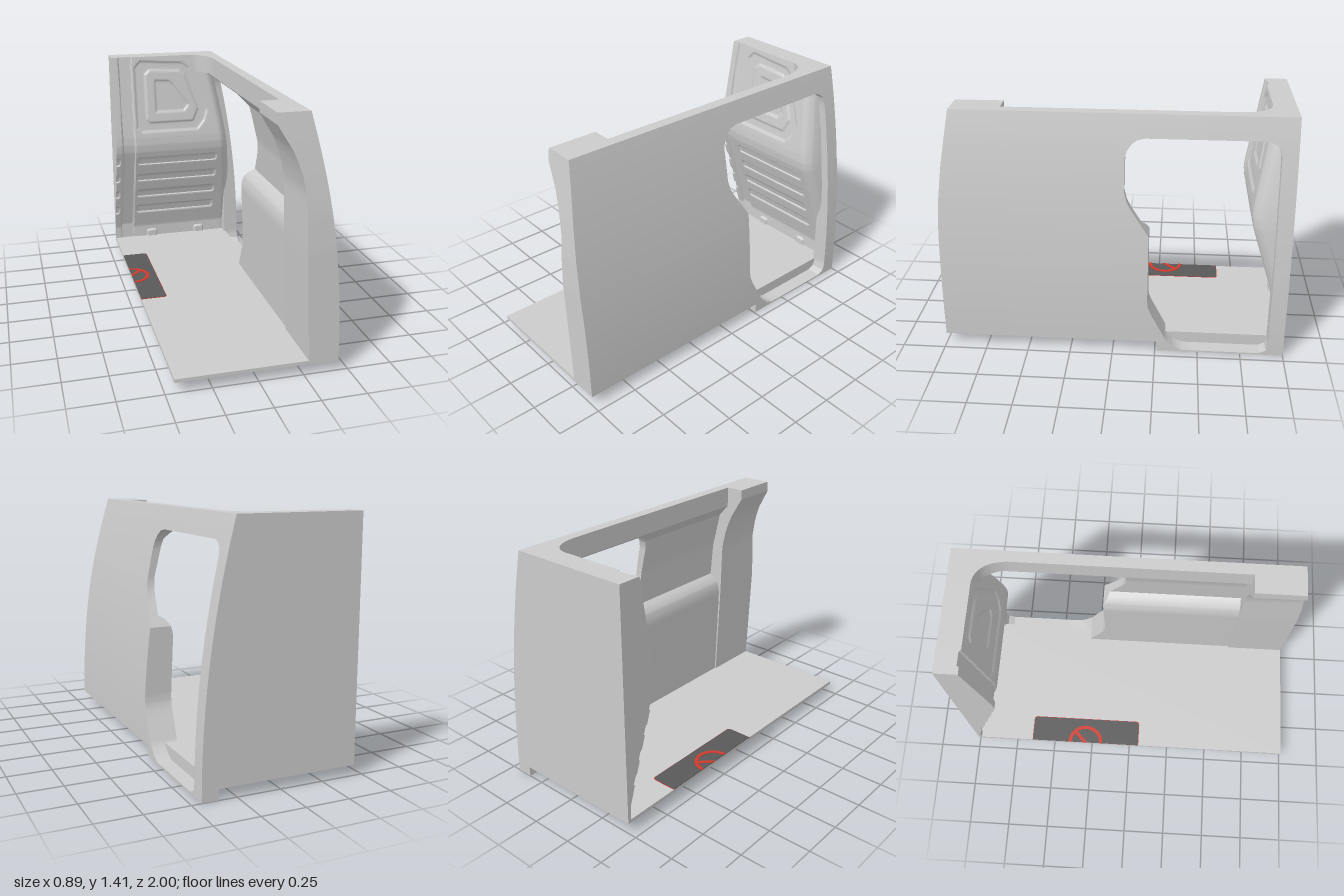
import * as THREE from 'three';
import { toCreasedNormals } from 'three/addons/utils/BufferGeometryUtils.js';

const TOP = 1.41, FLOOR = 0.06, EPS = 0.0001;
const grey = new THREE.MeshStandardMaterial({ color: 0xcccccc });
const dark = new THREE.MeshStandardMaterial({ color: 0x595959 });
const red = new THREE.MeshStandardMaterial({ color: 0xd03a2c });

// Linear interpolation through [position, value] pairs
function at(points, t) {
  if (t <= points[0][0]) return points[0][1];
  for (let i = 1; i < points.length; i++) {
    const [a, va] = points[i - 1], [b, vb] = points[i];
    if (t <= b) return va + (vb - va) * (t - a) / (b - a);
  }
  return points[points.length - 1][1];
}

// Curved outer skin, front edge and door opening, all as functions of height
const outer = (y) => 0.445 - 0.18 * Math.pow(y / TOP, 2.05);
const frontEdge = [[0.06, 1], [0.7, 1], [0.9, 0.99], [1.1, 0.968], [1.25, 0.945], [TOP, 0.92]];
const doorFront = [[0, -0.5], [0.0099, -0.5], [0.01, -0.41], [0.03, -0.36], [0.08, -0.31], [0.25, -0.22],
  [0.29, -0.205], [0.33, -0.2], [0.73, -0.2], [0.79, -0.16], [0.88, -0.1], [0.93, -0.073], [0.98, -0.06],
  [1.17, -0.06], [1.21, -0.07], [1.245, -0.093], [1.27, -0.125], [1.28, -0.17], [1.28 + EPS, -0.5]];
const doorBack = [[0, -0.5], [0.0099, -0.5], [0.01, -0.86], [0.03, -0.9], [0.07, -0.91], [1.2, -0.91],
  [1.24, -0.9], [1.265, -0.875], [1.28, -0.84], [1.28 + EPS, -0.5]];
const innerSide = [[0, 0.35], [FLOOR, 0.35], [FLOOR + EPS, 0.285], [0.66, 0.26], [0.7, 0.262], [0.74, 0.275],
  [0.77, 0.3], [0.79, 0.335], [1, 0.315], [1.22, 0.262], [1.29, 0.2], [TOP, 0.2]];
const innerRear = [[0, 0.35], [FLOOR, 0.35], [0.8, 0.335], [1, 0.312], [1.22, 0.262], [1.29, 0.2], [TOP, 0.2]];
const innerPillar = [[0.06, 0.277], [0.7, 0.246], [1, 0.237], [1.1, 0.215], [1.16, 0.195], [1.22, 0.17],
  [1.3, 0.122], [1.35, 0.092], [TOP, 0.092]];

// Sorted heights at which a column needs a cross-section
function levels(from, ...profiles) {
  const ys = new Set([from, TOP]);
  for (let y = 0; y < TOP; y += 0.05) ys.add(+y.toFixed(2));
  profiles.flat().forEach(([y]) => ys.add(y));
  return [...ys].filter((y) => y >= from && y <= TOP).sort((a, b) => a - b);
}

// Stack of rectangles, rect(y) = [x0, x1, z0, z1], closed at both ends
function column(name, ys, rect) {
  const pos = [], index = [];
  ys.forEach((y, k) => {
    const [x0, x1, z0, z1] = rect(y);
    pos.push(x0, y, z0, x0, y, z1, x1, y, z1, x1, y, z0);
    if (!k) return;
    for (let i = 0; i < 4; i++) {
      const a = k * 4 - 4 + i, b = k * 4 - 4 + (i + 1) % 4;
      index.push(a, b, b + 4, a, b + 4, a + 4);
    }
  });
  const e = (ys.length - 1) * 4;
  index.push(0, 2, 1, 0, 3, 2, e, e + 1, e + 2, e, e + 2, e + 3);
  return indexed(name, pos, index, 0.45);
}

function indexed(name, pos, index, crease) {
  const g = new THREE.BufferGeometry();
  g.setAttribute('position', new THREE.Float32BufferAttribute(pos, 3));
  g.setIndex(index);
  return named(name, toCreasedNormals(g, crease));
}

function named(name, geometry, material = grey) {
  const mesh = new THREE.Mesh(geometry, material);
  mesh.name = name;
  return mesh;
}

function box(name, x0, x1, y0, y1, z0, z1) {
  const m = named(name, new THREE.BoxGeometry(x1 - x0, y1 - y0, z1 - z0));
  m.position.set((x0 + x1) / 2, (y0 + y1) / 2, (z0 + z1) / 2);
  return m;
}

// Flat plate lying at height y; shape coordinates are x and -z
function plate(name, shape, y, depth, material) {
  const g = new THREE.ExtrudeGeometry(shape, { depth, bevelEnabled: false, curveSegments: 24 });
  const m = named(name, g.rotateX(-Math.PI / 2), material);
  m.position.y = y;
  return m;
}

// Signed distances used for the pressed shapes of the rear panel
const roundBox = (x, y, x0, x1, y0, y1, r) => {
  const dx = Math.abs(x - (x0 + x1) / 2) - (x1 - x0) / 2 + r;
  const dy = Math.abs(y - (y0 + y1) / 2) - (y1 - y0) / 2 + r;
  return Math.hypot(Math.max(dx, 0), Math.max(dy, 0)) + Math.min(Math.max(dx, dy), 0) - r;
};
const convex = (x, y, pts) => Math.max(...pts.map(([ax, ay], i) => { // clockwise corners
  const [bx, by] = pts[(i + 1) % pts.length], l = Math.hypot(bx - ax, by - ay);
  return ((x - ax) * (ay - by) + (y - ay) * (bx - ax)) / l;
}));
const inside = (d, soft) => 1 - THREE.MathUtils.smoothstep(d, -soft, soft);

const rearProfile = [[0.06, -0.978], [0.16, -0.978], [0.38, -0.91], [0.68, -0.813], [0.73, -0.797],
  [0.77, -0.785], [0.82, -0.779], [0.87, -0.782], [0.92, -0.789], [TOP, -0.868]];
const rings = [
  [[-0.3, 1.34], [-0.26, 1.38], [0.03, 1.36], [0.07, 1.33], [0.19, 1.04], [0.17, 0.97], [0.12, 0.91], [-0.27, 0.91], [-0.3, 0.94]],
  [[-0.23, 1.29], [-0.2, 1.32], [0.01, 1.31], [0.04, 1.28], [0.125, 1.05], [0.09, 0.97], [-0.21, 0.97], [-0.23, 0.99]],
  [[-0.165, 1.25], [-0.07, 1.245], [-0.04, 1.22], [0.06, 1.08], [0.03, 1.04], [-0.165, 1.04]],
];

function rearSurface(x, y, edge) {
  let z = at(rearProfile, y);
  z -= 0.012 * inside(roundBox(x, y, -0.405, -0.32, -1, 3, 0), 0.004);
  rings.forEach((r, i) => { z += (i % 2 ? 0.009 : -0.009) * inside(convex(x, y, r), 0.008); });
  for (let k = 0; k < 4; k++) {
    const y0 = 0.28 + 0.131 * k;
    const d = Math.min(roundBox(x, y, -0.3, 0.26, y0, y0 + 0.052, 0.015), roundBox(x, y, -0.6, -0.425, y0, y0 + 0.052, 0.015));
    z -= 0.01 * inside(d, 0.004);
  }
  for (const c of [-0.185, 0.165]) z += 0.012 * inside(roundBox(x, y, c - 0.033, c + 0.033, 0, 0.125, 0.015), 0.004);
  const roll = Math.max(0, (x - edge + 0.06) / 0.06);
  return Math.max(-0.985, z - 0.05 * roll * roll);
}

// Pressed rear panel; the outermost rows and columns fold back as a skirt
function rearPanel() {
  const nx = 140, ny = 230, pos = [], index = [], c = THREE.MathUtils.clamp;
  for (let j = 0; j <= ny; j++) for (let i = 0; i <= nx; i++) {
    const y = FLOOR + (TOP - FLOOR) * c((j - 1) / (ny - 2), 0, 1);
    const edge = outer(y) - 0.05;
    const x = -0.45 + (edge + 0.45) * c((i - 1) / (nx - 2), 0, 1);
    const skirt = i === 0 || j === 0 || i === nx || j === ny;
    pos.push(x, y, skirt ? -0.99 : rearSurface(x, y, edge));
    if (i < nx && j < ny) {
      const a = j * (nx + 1) + i, d = a + nx + 1;
      index.push(a, a + 1, d + 1, a, d + 1, d);
    }
  }
  return indexed('rearPanel', pos, index, 0.6);
}

export function createModel() {
  const model = new THREE.Group();
  model.name = 'cabinSection';

  // Floor and the lowered door sill
  model.add(box('floor', -0.45, 0.35, FLOOR, 0.08, -1, 1));
  model.add(box('sillInnerFace', 0.345, 0.36, 0.002, 0.08, -0.95, -0.28));

  // Side wall, split in the middle of the door opening
  model.add(column('sideWall', levels(0, doorFront, innerSide), (y) =>
    [at(innerSide, y), outer(y), at(doorFront, y), y <= FLOOR ? -0.26 : 0.64]));
  model.add(column('rearDoorFrame', levels(0, doorBack, innerRear), (y) =>
    [at(innerRear, y), outer(y), -1, at(doorBack, y)]));
  model.add(column('frontPillar', levels(FLOOR, frontEdge, innerPillar), (y) =>
    [at(innerPillar, y), outer(y), 0.64, at(frontEdge, y)]));

  // Rear wall with its pressed inner panel
  model.add(column('rearWall', levels(FLOOR), (y) => [-0.45, outer(y) - 0.03, -1, -0.983]));
  model.add(rearPanel());

  // Rounded top corner between rear wall and side wall
  const corner = new THREE.Shape();
  corner.moveTo(0.05, 0.87);
  corner.bezierCurveTo(0.14, 0.865, 0.19, 0.81, 0.201, 0.68);
  corner.lineTo(0.22, 0.68);
  corner.lineTo(0.22, 0.9);
  corner.lineTo(0.05, 0.9);
  model.add(plate('topCorner', corner, 1.3, 0.11, grey));

  // Floor marking: dark mat with a thin red edge, half ring and bar
  const mat = (g) => {
    const s = new THREE.Shape(), x = -0.29 + g, a = -0.06 - g, b = 0.64 + g, r = 0.025;
    s.moveTo(-0.45, a);
    s.lineTo(x - r, a);
    s.quadraticCurveTo(x, a, x, a + r);
    s.lineTo(x, b - r);
    s.quadraticCurveTo(x, b, x - r, b);
    s.lineTo(-0.45, b);
    return s;
  };
  model.add(plate('matEdge', mat(0), 0.08, 0.002, red));
  model.add(plate('mat', mat(-0.003), 0.08, 0.004, dark));
  const ring = new THREE.Shape();
  ring.absarc(-0.45, 0.29, 0.112, -Math.PI / 2, Math.PI / 2, false);
  ring.absarc(-0.45, 0.29, 0.09, Math.PI / 2, -Math.PI / 2, true);
  model.add(plate('markingRing', ring, 0.08, 0.007, red));
  const bar = new THREE.Shape([[-0.45, 0.275], [-0.376, 0.349], [-0.391, 0.364], [-0.45, 0.305]]
    .map(([x, y]) => new THREE.Vector2(x, y)));
  model.add(plate('markingBar', bar, 0.08, 0.007, red));

  return model;
}
